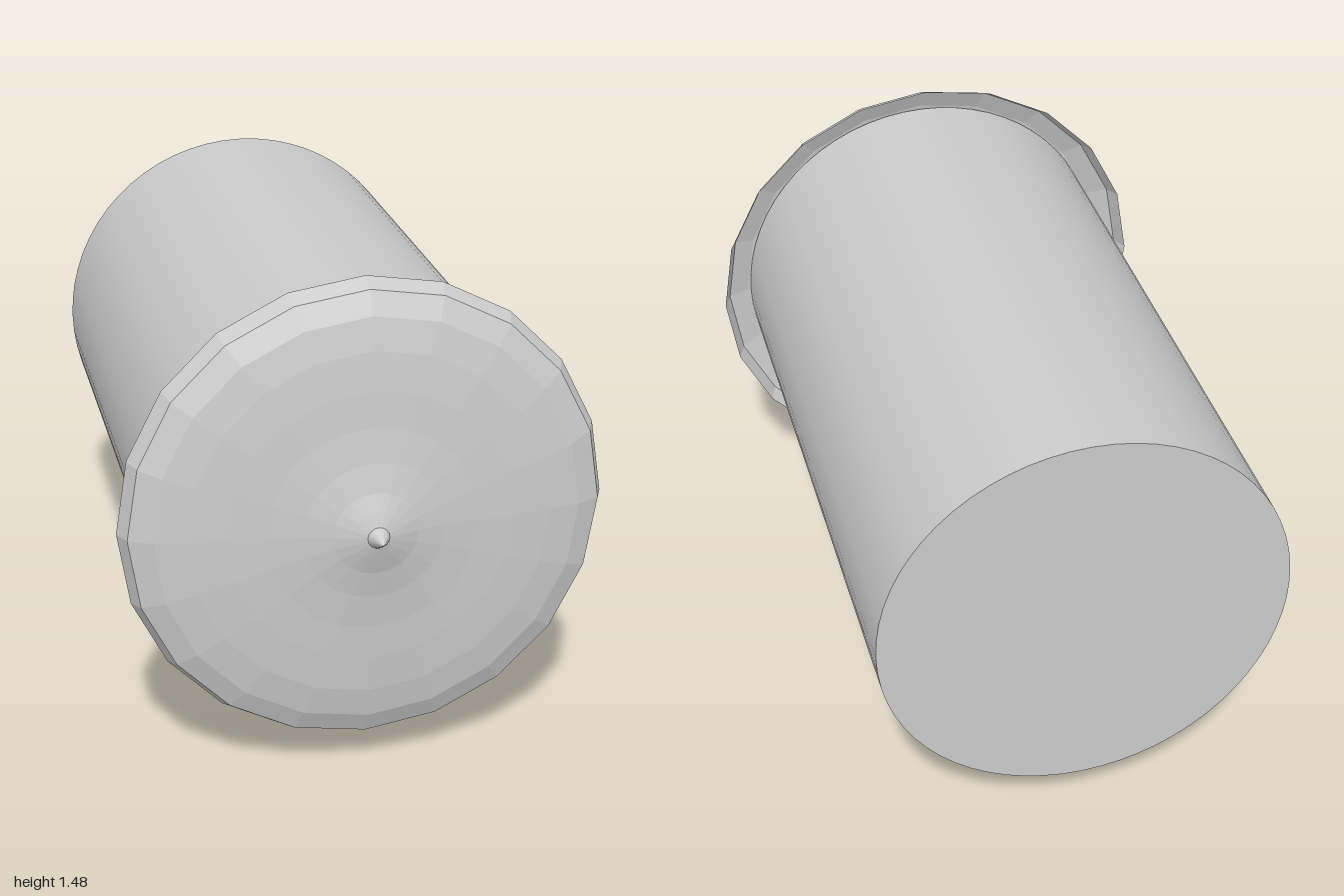
import * as THREE from 'three';

const AXIS_Y = 0.787;

export function createModel() {
  const model = new THREE.Group();
  const smooth = new THREE.MeshStandardMaterial({ color: 0xcccccc });
  const faceted = new THREE.MeshStandardMaterial({
    color: 0xcccccc, flatShading: true, side: THREE.DoubleSide,
  });

  const add = (name, geometry, material) => {
    const mesh = new THREE.Mesh(geometry, material);
    mesh.name = name;
    model.add(mesh);
    return mesh;
  };

  // Long drum lying along z, running just into the hollow front cover
  const back = -1, front = 0.845;
  const drum = new THREE.CylinderGeometry(0.59, 0.59, front - back, 64);
  drum.rotateX(Math.PI / 2);
  add('drum', drum, smooth).position.set(0, AXIS_Y, (front + back) / 2);

  // Thin dished cover, open at the back: [radius, z]
  const coverProfile = [
    [0.688, 0.77], [0.665, 0.82], [0.6, 0.85], [0.51, 0.868], [0.4, 0.88],
    [0.3, 0.887], [0.2, 0.9], [0.12, 0.917], [0.07, 0.934], [0.03, 0.946],
  ].map(([r, z]) => new THREE.Vector2(r, z));
  const cover = new THREE.LatheGeometry(coverProfile, 20);
  cover.rotateX(Math.PI / 2);
  add('frontCover', cover, faceted).position.y = AXIS_Y;

  // Small pointed tip at the centre of the cover
  const tip = new THREE.ConeGeometry(0.032, 0.056, 16);
  tip.rotateX(Math.PI / 2);
  add('coverTip', tip, smooth).position.set(0, AXIS_Y, 0.972);

  // Mounting tab under the drum, drawn in z-y with a bolt hole
  const tabShape = new THREE.Shape();
  tabShape.moveTo(-0.36, 0).lineTo(-0.065, 0).lineTo(-0.065, 0.22).lineTo(-0.36, 0.22).closePath();
  const hole = new THREE.Path();
  hole.absarc(-0.305, 0.053, 0.022, 0, Math.PI * 2, true);
  tabShape.holes.push(hole);
  const tab = new THREE.ExtrudeGeometry(tabShape, { depth: 0.05, bevelEnabled: false, curveSegments: 20 });
  tab.rotateY(-Math.PI / 2);
  add('mountingTab', tab, smooth).position.x = 0.025;

  return model;
}
